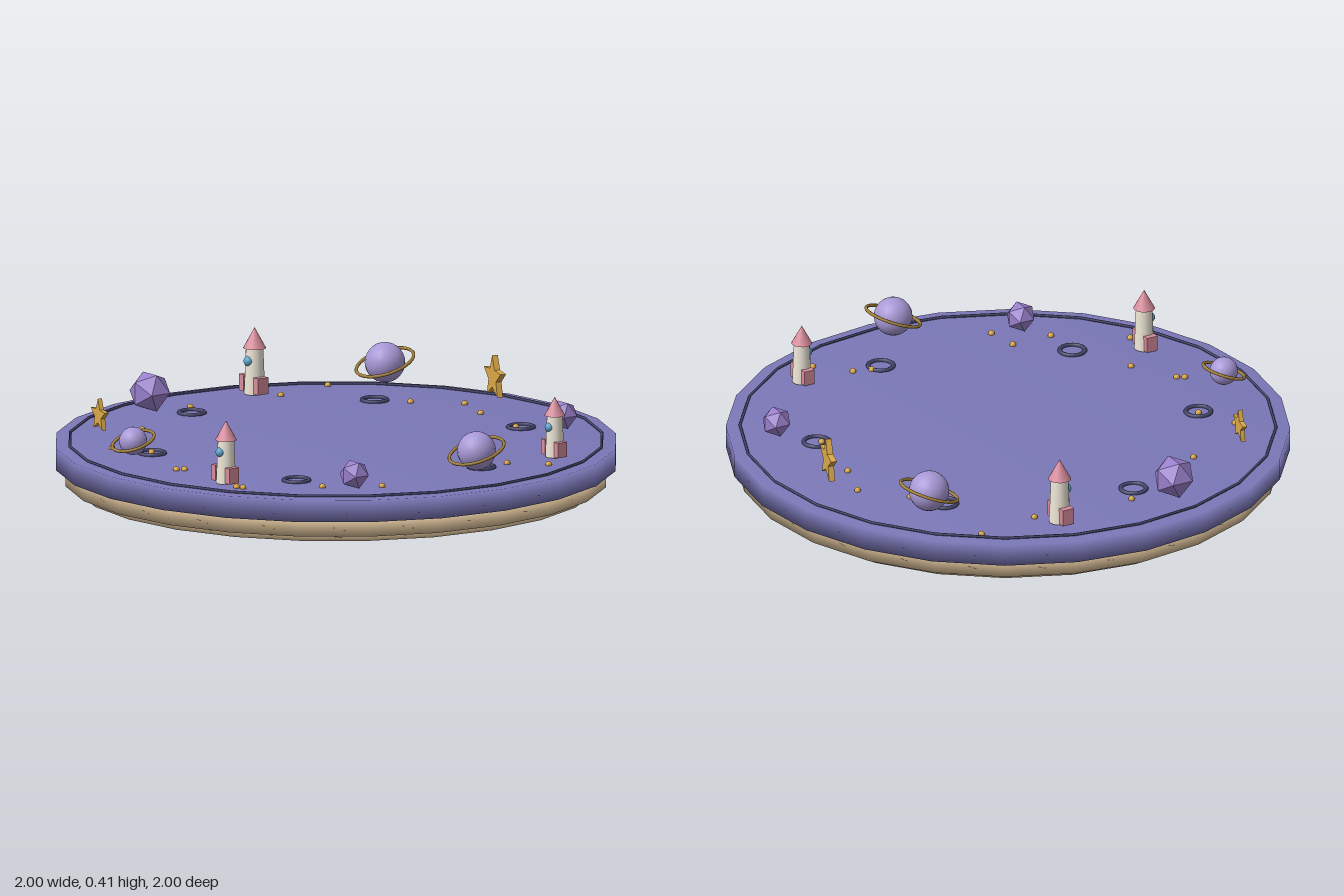
import * as THREE from 'three';

const mat = (color, flatShading = false) => new THREE.MeshStandardMaterial({ color, flatShading });
const M = {
  top: mat(0x7b78b8), base: mat(0xdcc19a), line: mat(0x45446a), planet: mat(0xa898d6),
  ring: mat(0xa8843c), gold: mat(0xdcaa48), rock: mat(0x9a80cc, true),
  cream: mat(0xefe8d8), pink: mat(0xd88c9c), glass: mat(0x5fa8cc),
};
const TOP = 0.165;

function add(parent, name, geometry, material, x = 0, y = 0, z = 0) {
  const mesh = new THREE.Mesh(geometry, material);
  mesh.name = name;
  mesh.position.set(x, y, z);
  parent.add(mesh);
  return mesh;
}

function group(parent, name, x, y, z) {
  const g = new THREE.Group();
  g.name = name;
  g.position.set(x, y, z);
  parent.add(g);
  return g;
}

// Closed 24-sided disc whose shading rolls softly over the rim
function disc(r, y0, y1) {
  const profile = [[0, y0], [r, y0], [r, y1], [0, y1]].map(p => new THREE.Vector2(...p));
  return new THREE.LatheGeometry(profile, 24);
}

function flatTorus(r, tube, sides, segments) {
  return new THREE.TorusGeometry(r, tube, sides, segments).rotateX(Math.PI / 2);
}

function planet(parent, x, z, y, r, ringR) {
  const g = group(parent, 'ringedPlanet', x, y, z);
  add(g, 'planetBall', new THREE.SphereGeometry(r, 20, 14), M.planet);
  add(g, 'planetRing', flatTorus(ringR, 0.006, 6, 32), M.ring).rotation.x = 0.35;
}

function rocket(parent, x, z, s) {
  const g = group(parent, 'rocket', x, TOP, z);
  g.scale.setScalar(s);
  add(g, 'rocketBody', new THREE.CylinderGeometry(0.031, 0.038, 0.17, 16), M.cream, 0, 0.09, 0);
  add(g, 'rocketNose', new THREE.ConeGeometry(0.041, 0.075, 16), M.pink, 0, 0.2075, 0);
  add(g, 'rocketWindow', new THREE.SphereGeometry(0.019, 12, 8), M.glass, 0, 0.126, 0.026);
  for (const side of [-1, 1]) {
    add(g, 'rocketFin', new THREE.BoxGeometry(0.026, 0.06, 0.045), M.pink, side * 0.043, 0.04, 0.004);
  }
}

function star(parent, x, z, y, r, turn) {
  const shape = new THREE.Shape();
  for (let i = 0; i < 10; i++) {
    const a = Math.PI / 2 + i * Math.PI / 5;
    const d = i % 2 ? r * 0.45 : r;
    shape[i ? 'lineTo' : 'moveTo'](d * Math.cos(a), d * Math.sin(a));
  }
  shape.closePath();
  const depth = r * 0.27;
  const geometry = new THREE.ExtrudeGeometry(shape, { depth, bevelEnabled: false });
  geometry.translate(0, 0, -depth / 2);
  add(parent, 'star', geometry, M.gold, x, y, z).rotation.y = turn;
}

export function createModel() {
  const model = new THREE.Group();
  model.name = 'spaceDisplayBase';

  // Stepped platform and the fine line around its top
  add(model, 'foot', disc(0.92, 0, 0.03), M.base);
  add(model, 'lowerTier', disc(0.965, 0.025, 0.088), M.base);
  add(model, 'topPlate', disc(1, 0.085, TOP), M.top);
  add(model, 'rimLine', flatTorus(0.95, 0.005, 6, 24), M.line, 0, 0.17, 0);

  // Ringed planets: x, z, y, radius, ring radius
  planet(model, -0.54, -0.625, 0.275, 0.072, 0.106);
  planet(model, 0.82, -0.005, 0.27, 0.069, 0.101);
  planet(model, -0.12, 0.81, 0.25, 0.05, 0.077);

  // Rockets: x, z, scale
  rocket(model, -0.79, -0.235, 1);
  rocket(model, 0.34, 0.745, 0.94);
  rocket(model, 0.69, -0.45, 0.9);

  // Faceted asteroids: x, z, y, radius
  for (const [x, z, y, r] of [[-0.79, 0.23, 0.237, 0.077], [0.69, 0.44, 0.22, 0.055], [0.34, -0.75, 0.22, 0.055]]) {
    add(model, 'asteroid', new THREE.IcosahedronGeometry(r), M.rock, x, y, z);
  }

  // Standing stars
  star(model, -0.125, -0.8, 0.27, 0.08, -0.25);
  star(model, -0.545, 0.637, 0.247, 0.06, -0.2);

  // Crater rims
  const craters = [[-0.455, -0.515], [0.22, -0.655], [0.67, -0.14], [-0.675, 0.13], [0.45, 0.515], [-0.22, 0.65]];
  for (const [x, z] of craters) {
    add(model, 'craterRim', flatTorus(0.045, 0.008, 8, 24), M.line, x, 0.168, z);
  }

  // Scattered gold studs
  const studs = [
    [-0.21, -0.73], [-0.05, -0.68], [-0.35, -0.595], [-0.75, -0.53], [-0.715, -0.295], [-0.75, 0.08],
    [-0.55, 0.445], [-0.37, 0.715], [-0.23, 0.645], [0.055, 0.75], [0.07, 0.725], [0.23, 0.63],
    [0.415, 0.755], [0.44, 0.745], [0.595, 0.51], [0.595, 0.355], [0.715, 0.335], [0.655, -0.185],
    [0.675, -0.25], [0.78, -0.355], [0.21, -0.64],
  ];
  for (const [x, z] of studs) {
    add(model, 'stud', new THREE.SphereGeometry(0.012, 10, 6), M.gold, x, 0.168, z);
  }

  return model;
}
